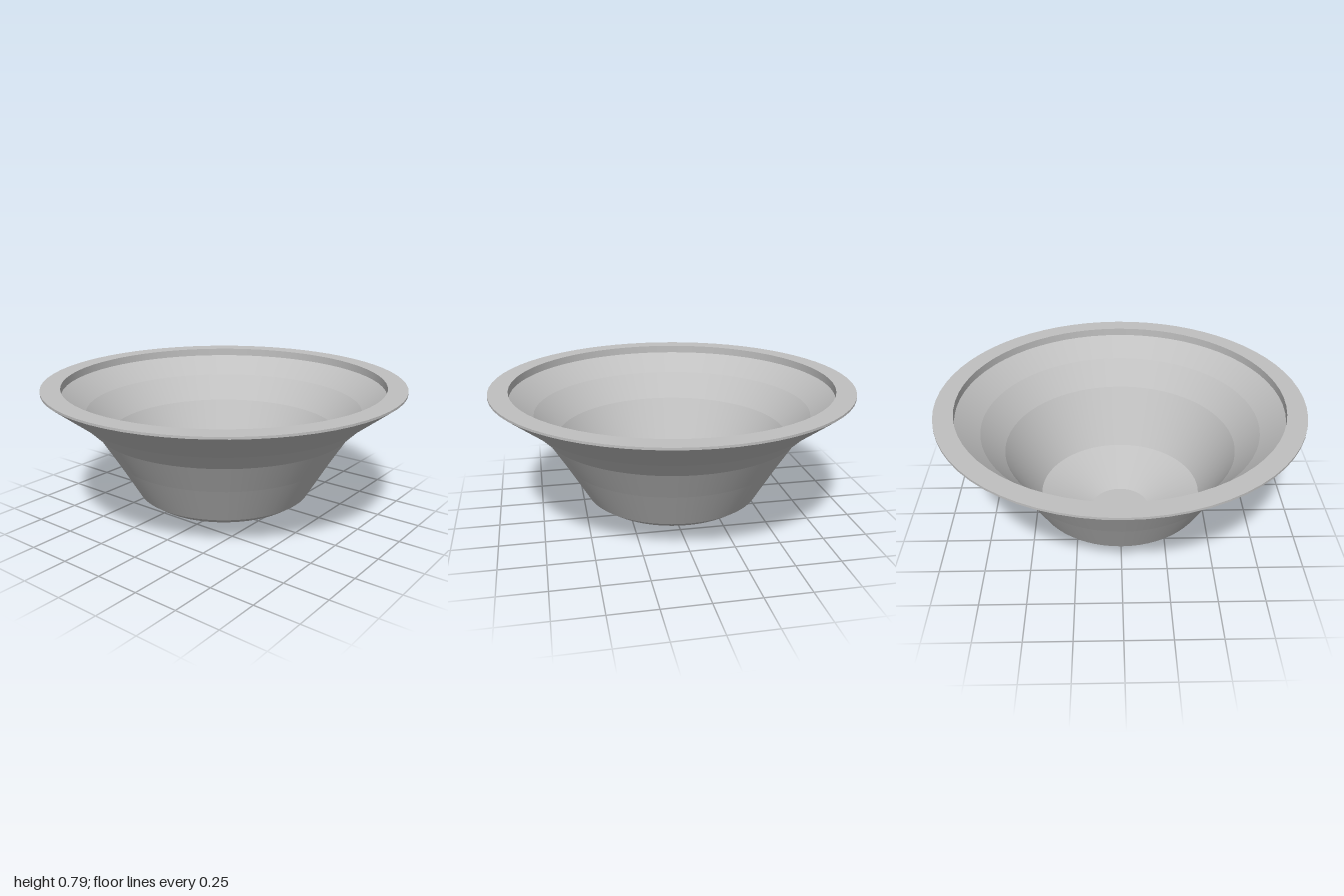
import * as THREE from 'three';
import { mergeGeometries } from 'three/addons/utils/BufferGeometryUtils.js';

const SEGMENTS = 64;

// Each profile step is its own band: smooth around the axis, sharp between bands.
function bandedLathe(profile) {
  const points = profile.map(([r, y]) => new THREE.Vector2(r, y));
  const bands = [];
  for (let i = 0; i < points.length - 1; i++) {
    bands.push(new THREE.LatheGeometry([points[i], points[i + 1]], SEGMENTS));
  }
  return mergeGeometries(bands);
}

export function createModel() {
  const model = new THREE.Group();
  model.name = 'bowl';

  const grey = new THREE.MeshStandardMaterial({ color: 0xc0c0c0 });
  grey.name = 'light grey';

  // Profiles run up the outside, over the rim and down the inside.
  const parts = {
    outerShell: [
      [0, 0], [0.17, 0], [0.26, 0.05], [0.44, 0.125], [0.49, 0.16],
      [0.612, 0.37], [0.71, 0.53], [0.8, 0.62], [1, 0.775],
    ],
    rim: [[1, 0.775], [1, 0.787], [0.893, 0.787], [0.893, 0.743]],
    innerShell: [
      [0.893, 0.743], [0.767, 0.64], [0.645, 0.5], [0.46, 0.175], [0.17, 0.04], [0, 0.04],
    ],
  };

  for (const [name, profile] of Object.entries(parts)) {
    const mesh = new THREE.Mesh(bandedLathe(profile), grey);
    mesh.name = name;
    model.add(mesh);
  }
  return model;
}
